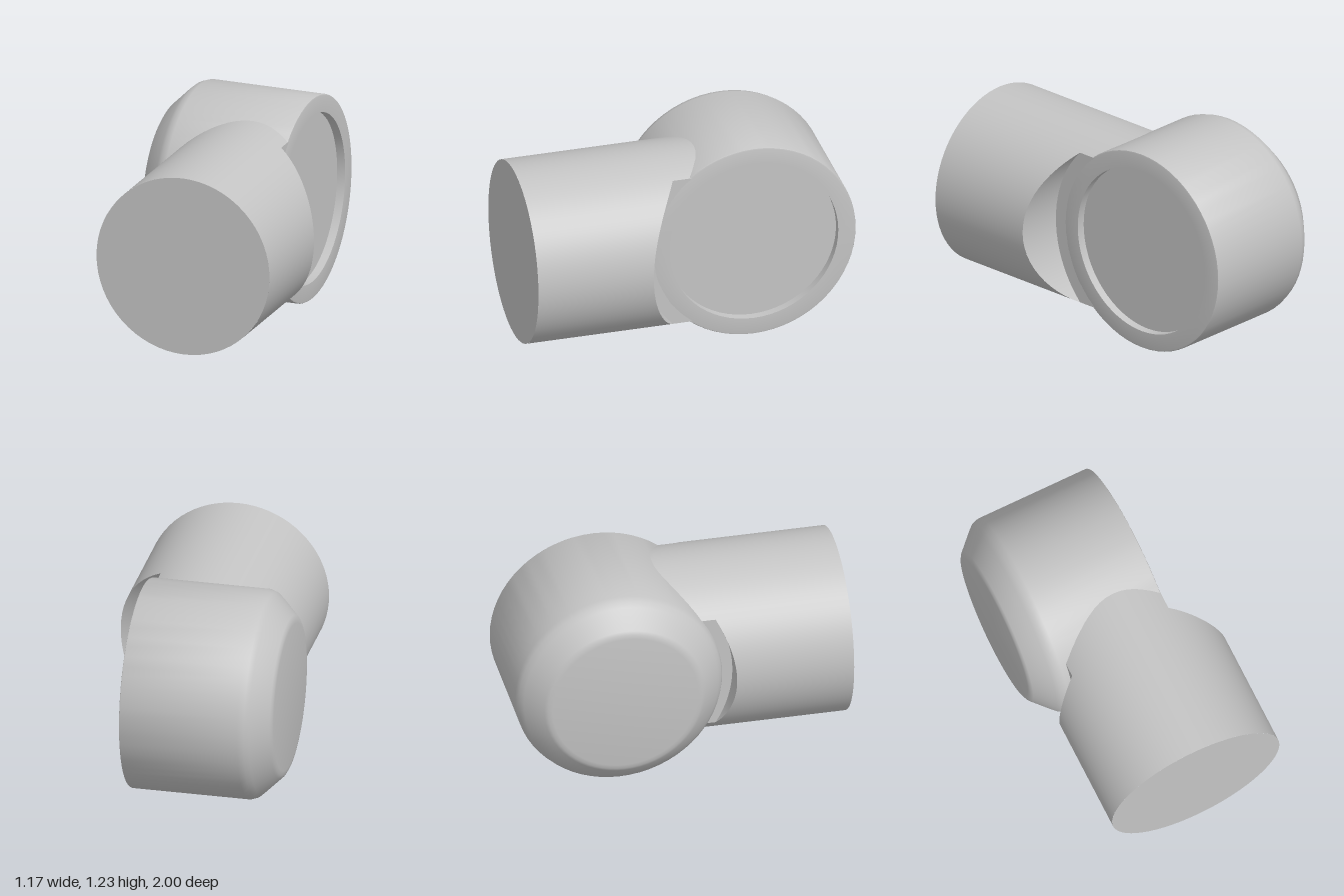
import * as THREE from 'three';
import { toCreasedNormals } from 'three/addons/utils/BufferGeometryUtils.js';
import { ParametricGeometry } from 'three/addons/geometries/ParametricGeometry.js';

const CY = 0.62;               // shared axis height
const AZ = -0.383;             // z of the cross barrel's axis
const BX = 0.04, BR = 0.543;   // front pipe centre and radius
const CUT = 0.685;             // clearance radius around the barrel
const INNER = 0.605;           // pipe neck ends just under the barrel skin
const XR = 0.3, XL = -0.37;    // sides of the neck
const TR = Math.acos((XR - BX) / BR);
const TL = Math.acos((XL - BX) / BR);

export function createModel() {
  const group = new THREE.Group();
  const grey = new THREE.MeshStandardMaterial({ color: 0xc4c4c4 });
  grey.name = 'grey';

  const add = (parent, name, geometry) => {
    const mesh = new THREE.Mesh(geometry, grey);
    mesh.name = name;
    parent.add(mesh);
    return mesh;
  };

  // Cross barrel: rounded chamfer at one end, shallow recess at the other
  const profile = [
    [0, -0.585], [0.435, -0.585], [0.46, -0.581], [0.48, -0.57],
    [0.58, -0.47], [0.604, -0.443], [0.617, -0.405], [0.617, 0.292],
    [0.614, 0.298], [0.607, XR], [0.51, XR], [0.51, 0.25], [0, 0.25],
  ].map(([r, a]) => new THREE.Vector2(r, a));
  const barrel = add(group, 'crossBarrel', toCreasedNormals(new THREE.LatheGeometry(profile, 64), 0.6));
  barrel.rotation.z = -Math.PI / 2;
  barrel.position.set(0, CY, AZ);

  // Front pipe, its back end cut to follow the barrel
  const pipe = new THREE.Group();
  pipe.name = 'frontPipe';
  group.add(pipe);
  const lerp = THREE.MathUtils.lerp;
  const backZ = (y, radius) => AZ + Math.sqrt(radius * radius - y * y);

  const wall = (name, t0, t1, radius, steps) => add(pipe, name, new ParametricGeometry((u, v, p) => {
    const t = lerp(t0, t1, u), y = BR * Math.sin(t);
    p.set(BX + BR * Math.cos(t), CY + y, lerp(backZ(y, radius), 1, v));
  }, steps, 1));
  wall('rightWall', -TR, TR, CUT, 24);
  wall('neckTop', TR, TL, INNER, 16);
  wall('leftWall', TL, 2 * Math.PI - TL, CUT, 18);
  wall('neckBottom', 2 * Math.PI - TL, 2 * Math.PI - TR, INNER, 16);

  // Concave end faces on both sides of the neck
  const scoop = (name, t0, t1) => add(pipe, name, new ParametricGeometry((u, v, p) => {
    const t = lerp(t0, t1, u), y = BR * Math.sin(t) * (2 * v - 1);
    p.set(BX + BR * Math.cos(t), CY + y, backZ(y, CUT));
  }, 12, 20));
  scoop('rightScoop', 0.01, TR);
  scoop('leftScoop', TL, Math.PI - 0.01);

  // Flat steps between the scoops and the barrel
  const step = (name, x, half) => add(pipe, name, new ParametricGeometry((u, v, p) => {
    const y = half * (2 * u - 1);
    p.set(x, CY + y, backZ(y, lerp(INNER, CUT, v)));
  }, 20, 1));
  step('rightStep', XR, BR * Math.sin(TR));
  step('leftStep', XL, -BR * Math.sin(TL));

  // Flat front face
  add(pipe, 'frontFace', new THREE.CircleGeometry(BR, 64)).position.set(BX, CY, 1);

  return group;
}
